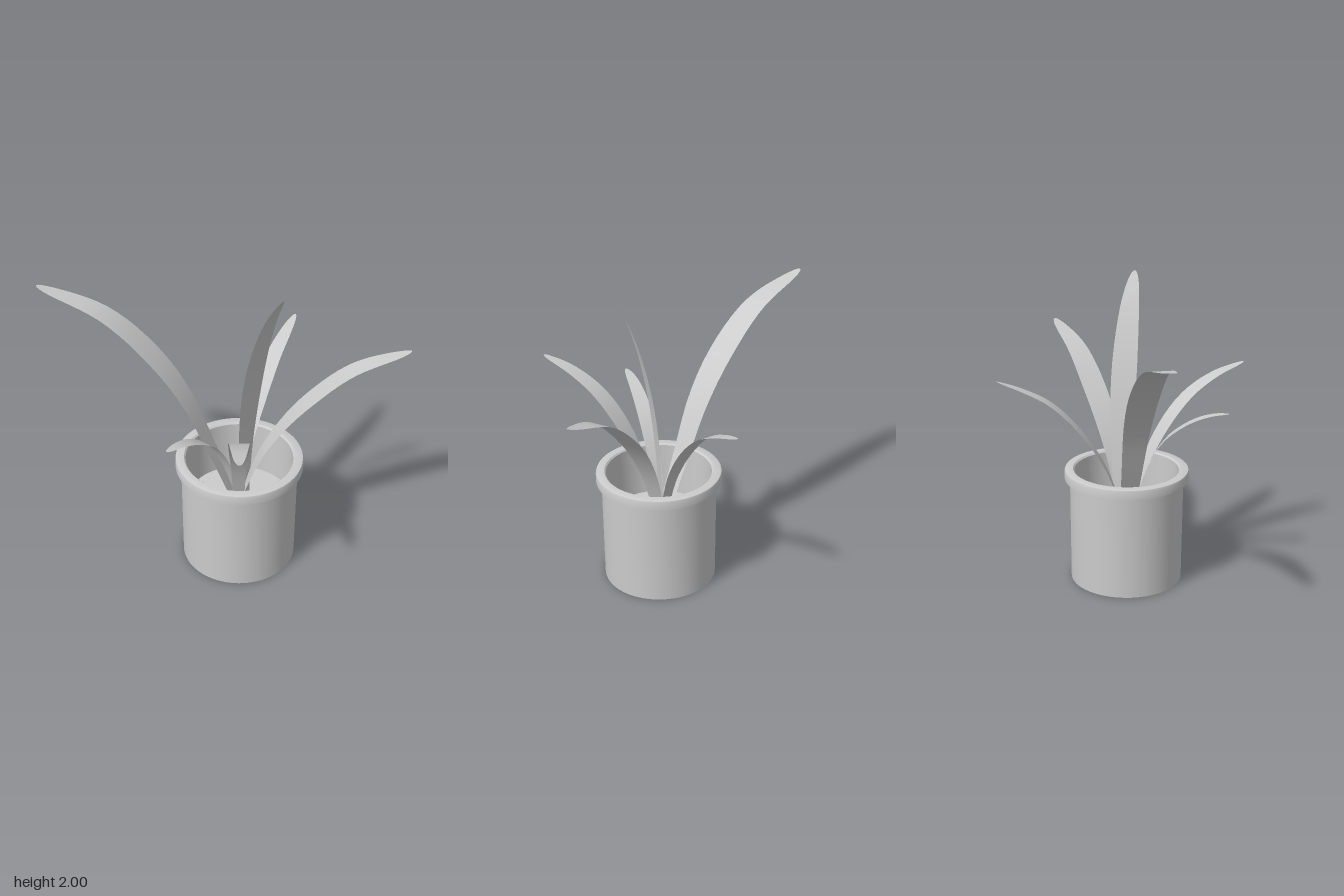
import * as THREE from 'three';
import { toCreasedNormals } from 'three/addons/utils/BufferGeometryUtils.js';

const CX = -0.045, CZ = 0.205; // pot axis
const SOIL = 0.4;

const material = () => new THREE.MeshStandardMaterial({ color: 0xcccccc });

function lathe(name, profile) {
  const points = profile.map(([r, y]) => new THREE.Vector2(r, y));
  const mesh = new THREE.Mesh(toCreasedNormals(new THREE.LatheGeometry(points, 64), 0.6), material());
  mesh.name = name;
  mesh.position.set(CX, 0, CZ);
  return mesh;
}

// Flat arching blade: base and tip give its heading, profile lists [share of reach, height]
function leaf(name, { base, tip, width, profile }) {
  const from = new THREE.Vector3(base[0], 0, base[1]);
  const reach = new THREE.Vector3(tip[0], 0, tip[1]).sub(from);
  const length = reach.length();
  const side = new THREE.Vector3(reach.z, 0, -reach.x).normalize();
  const curve = new THREE.CatmullRomCurve3(profile.map(([r, y]) => {
    const p = from.clone().addScaledVector(reach, r / profile.at(-1)[0]);
    return p.setY(y);
  }), false, 'centripetal');

  const rows = 28, cols = 4, positions = [], index = [];
  for (let i = 0; i <= rows; i++) {
    const t = Math.sin((i / rows) * Math.PI / 2); // finer rows toward the tip
    const p = curve.getPointAt(t);
    const swell = 0.55 + 0.5 * THREE.MathUtils.smoothstep(t, 0, 0.65);
    const half = 0.5 * width * swell * Math.sqrt(Math.max(0, 1 - t ** 4));
    for (let j = 0; j <= cols; j++) {
      const q = p.clone().addScaledVector(side, half * (2 * j / cols - 1));
      positions.push(q.x, q.y, q.z);
      if (i < rows && j < cols) {
        const a = i * (cols + 1) + j, b = a + cols + 1;
        index.push(a, b, a + 1, b, b + 1, a + 1);
      }
    }
  }
  const geometry = new THREE.BufferGeometry();
  geometry.setAttribute('position', new THREE.Float32BufferAttribute(positions, 3));
  geometry.setIndex(index);
  geometry.computeVertexNormals();
  const mat = material();
  mat.side = THREE.DoubleSide;
  const mesh = new THREE.Mesh(geometry, mat);
  mesh.name = name;
  return mesh;
}

export function createModel() {
  const group = new THREE.Group();
  group.name = 'pottedPlant';

  // Hollow pot with an overhanging rim
  group.add(lathe('pot', [
    [0, 0], [0.365, 0], [0.37, 0.695], [0.405, 0.695], [0.405, 0.745],
    [0.401, 0.756], [0.39, 0.76], [0.35, 0.76], [0.34, 0.75], [0.335, SOIL],
  ]));
  group.add(lathe('soil', [[0.337, SOIL], [0, SOIL]]));

  // Six blades fanning out from the middle of the pot
  const leaves = {
    backRightLeaf: {
      base: [-0.05, 0.19], tip: [-0.77, -0.87], width: 0.195,
      profile: [[0, 0.38], [0.18, 0.8], [0.33, 1.13], [0.53, 1.4], [0.84, 1.65], [1.28, 1.78]],
    },
    backLeftLeaf: {
      base: [-0.04, 0.18], tip: [0.71, -0.14], width: 0.115,
      profile: [[0, 0.42], [0.12, 0.76], [0.3, 1.03], [0.48, 1.2], [0.66, 1.29], [0.815, 1.345]],
    },
    frontLeftLeaf: {
      base: [-0.04, 0.2], tip: [0.77, 0.83], width: 0.17,
      profile: [[0, 0.4], [0.13, 0.76], [0.27, 1.0], [0.43, 1.19], [0.68, 1.4], [1.02, 1.53]],
    },
    frontLeaf: {
      base: [0.0, 0.2], tip: [0.026, 0.487], width: 0.175,
      profile: [[0, 0.4], [0.01, 0.77], [0.03, 1.05], [0.07, 1.35], [0.13, 1.62], [0.2, 1.83], [0.285, 2.0]],
    },
    frontRightLeaf: {
      base: [-0.045, 0.2], tip: [-0.6, 0.865], width: 0.135,
      profile: [[0, 0.4], [0.13, 0.76], [0.28, 1.02], [0.45, 1.2], [0.65, 1.31], [0.87, 1.37]],
    },
    rightLeaf: {
      base: [-0.05, 0.19], tip: [-0.695, 0.32], width: 0.105,
      profile: [[0, 0.45], [0.12, 0.77], [0.25, 0.98], [0.35, 1.07], [0.45, 1.13], [0.55, 1.165], [0.65, 1.18]],
    },
  };
  for (const [name, spec] of Object.entries(leaves)) group.add(leaf(name, spec));
  return group;
}
